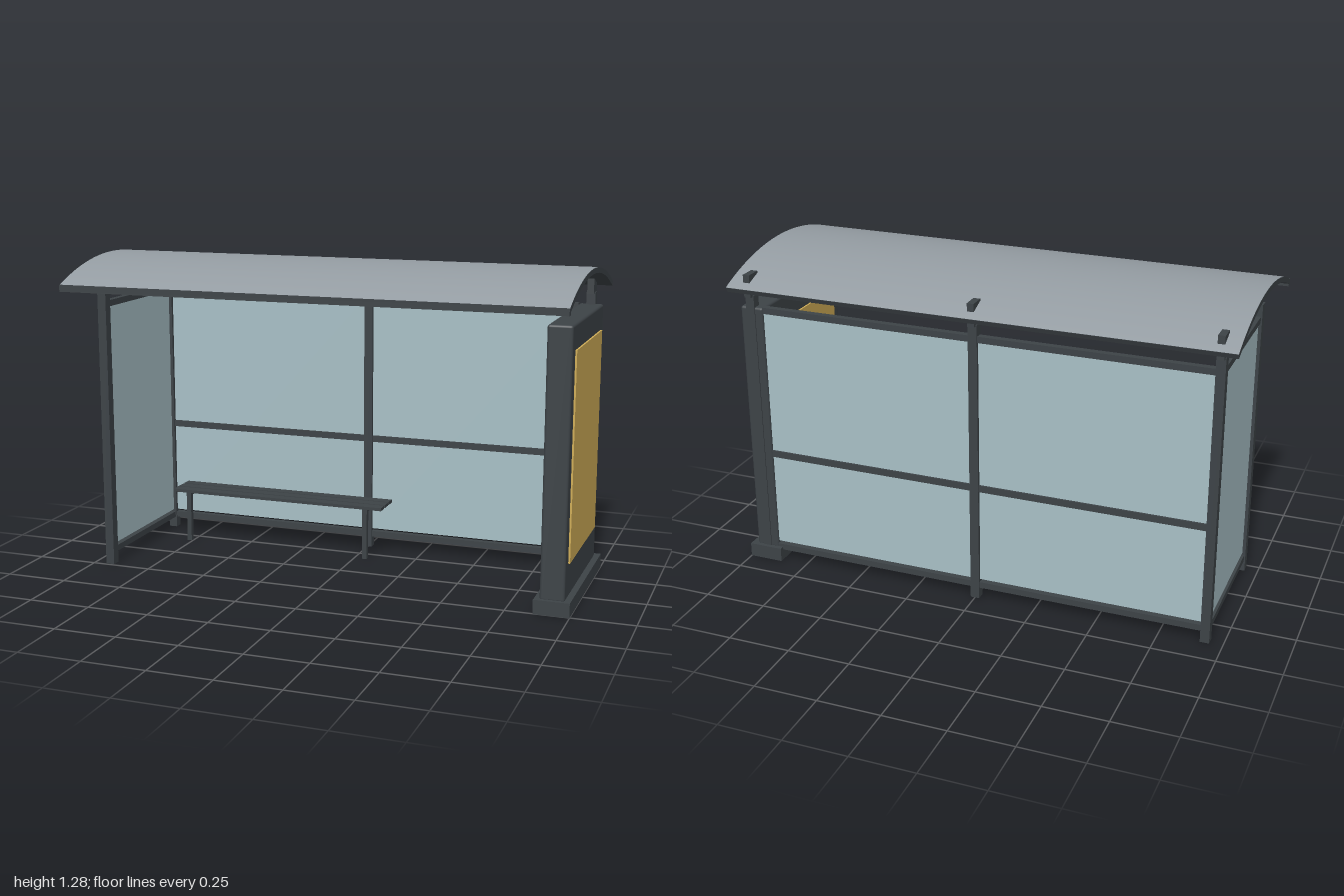
import * as THREE from 'three';
import { RoundedBoxGeometry } from 'three/addons/geometries/RoundedBoxGeometry.js';
import { toCreasedNormals } from 'three/addons/utils/BufferGeometryUtils.js';

export function createModel() {
  const model = new THREE.Group();
  model.name = 'busShelter';
  const paint = (color) => new THREE.MeshStandardMaterial({ color });
  const frame = paint(0x3d4347);
  const glass = paint(0xa8c0c6);
  const poster = paint(0xd0ad57);
  const sheet = paint(0x949ca2);

  const add = (name, geometry, material) => {
    const mesh = new THREE.Mesh(geometry, material);
    mesh.name = name;
    model.add(mesh);
    return mesh;
  };
  // Box given by its limits on each axis
  const box = (name, [x0, x1], [y0, y1], [z0, z1], material = frame, round = 0) => {
    const size = [x1 - x0, y1 - y0, z1 - z0];
    const geometry = round ? new RoundedBoxGeometry(...size, 2, round) : new THREE.BoxGeometry(...size);
    add(name, geometry, material).position.set((x0 + x1) / 2, (y0 + y1) / 2, (z0 + z1) / 2);
  };
  const around = (c, width) => [c - width / 2, c + width / 2];

  // Curved roof: dark body with a lighter sheet on top
  const R = 1.097, thick = 0.02, apex = 1.277, half = Math.asin(0.442 / R);
  const arc = new THREE.Shape();
  arc.absarc(0, 0, R, Math.PI / 2 - half, Math.PI / 2 + half, false);
  arc.absarc(0, 0, R - thick, Math.PI / 2 + half, Math.PI / 2 - half, true);
  const body = new THREE.ExtrudeGeometry(arc, { depth: 2, bevelEnabled: false, curveSegments: 32 });
  body.translate(0, 0, -1).rotateY(Math.PI / 2);
  add('roofBody', toCreasedNormals(body, 0.5), frame).position.y = apex - R;

  const top = new THREE.CylinderGeometry(R + 0.0015, R + 0.0015, 2, 32, 1, true, Math.PI / 2 - half, 2 * half);
  top.rotateZ(Math.PI / 2);
  add('roofSheet', top, sheet).position.y = apex - R;
  box('roofFrontLip', [-1, 1], [1.16, 1.187], [0.423, 0.445]);

  // Back posts with roof brackets
  const backZ = -0.373;
  for (const x of [-0.93, 0, 0.93]) {
    box('backPost', around(x, 0.036), [0, 1.145], around(backZ, 0.036));
    box('roofBracket', around(x, 0.027), [1.14, 1.232], [-0.406, -0.342]);
  }
  box('frontPost', around(-0.93, 0.036), [0, 1.147], [0.202, 0.24]);

  // Back wall: two bays of glass and three rails
  for (const [x0, x1] of [[-0.912, -0.018], [0.018, 0.88]]) {
    box('backGlass', [x0, x1], [0.08, 1.08], around(backZ, 0.01), glass);
    for (const [y0, y1] of [[0.045, 0.07], [0.465, 0.492], [1.075, 1.1]])
      box('backRail', [x0, x1], [y0, y1], around(backZ, 0.026));
  }

  // Side wall
  const sideZ = [-0.355, 0.202];
  box('sideGlass', around(-0.93, 0.01), [0.08, 1.08], sideZ, glass);
  for (const [y0, y1] of [[0.045, 0.07], [1.075, 1.1]])
    box('sideRail', around(-0.93, 0.026), [y0, y1], sideZ);

  // Display cabinet with a poster on both faces
  box('cabinetBase', [0.86, 1], [0, 0.057], [-0.406, 0.255]);
  box('cabinet', [0.88, 0.976], [0.05, 1.097], [-0.387, 0.237], frame, 0.01);
  for (const x of [0.878, 0.978])
    box('poster', around(x, 0.01), [0.19, 1.0], [-0.335, 0.186], poster);

  // Slatted bench
  for (let i = 0; i < 3; i++)
    box('benchSlat', [-0.835, 0.118], [0.215, 0.228], around(-0.2 - i * 0.052, 0.043));
  for (const x of [-0.765, 0.045]) {
    box('benchLeg', around(x, 0.02), [0, 0.215], around(-0.19, 0.02));
    box('benchSupport', around(x, 0.02), [0.203, 0.215], [-0.32, -0.18]);
  }

  return model;
}
